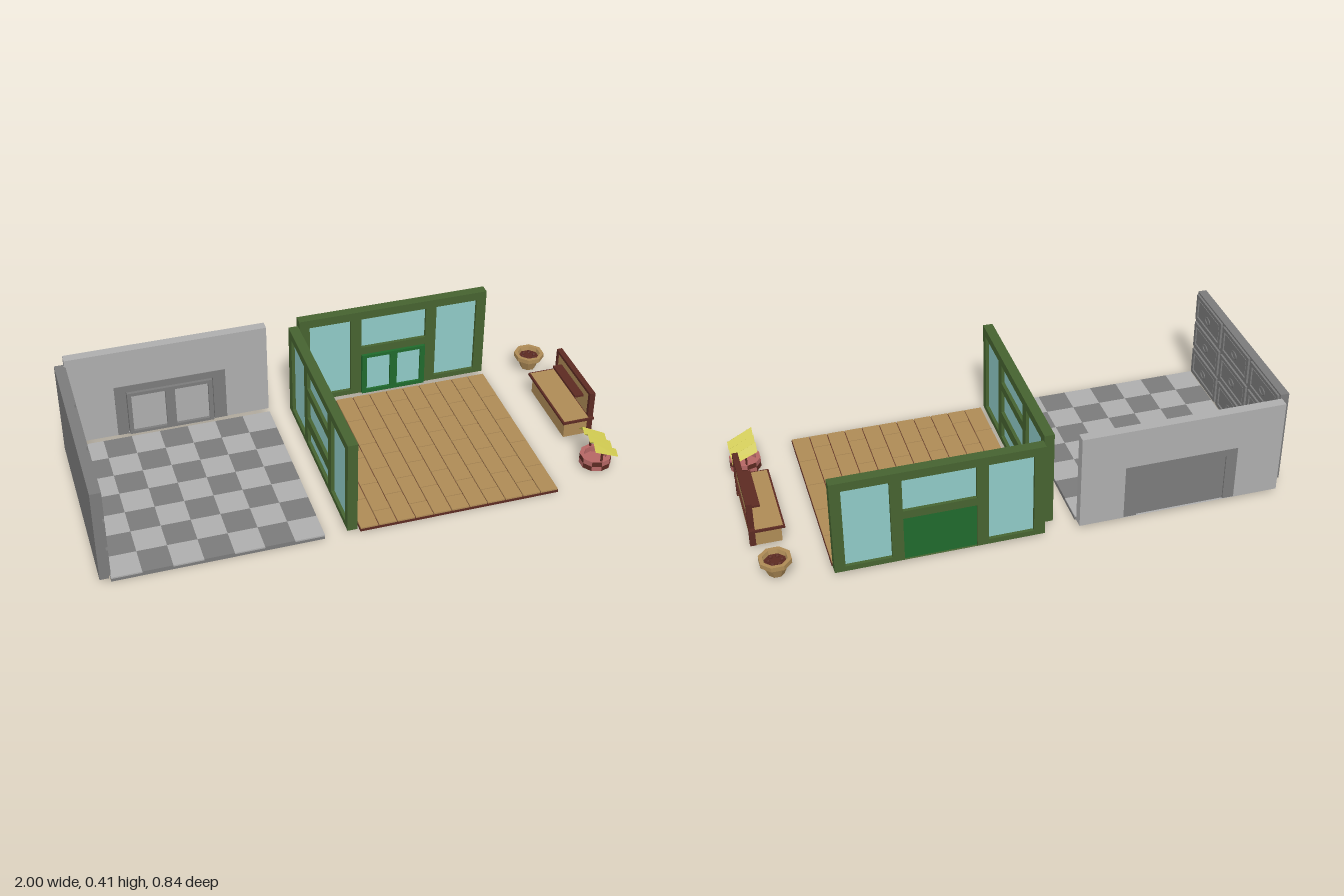
import * as THREE from 'three';

const mat = (name, color, side = THREE.FrontSide) => {
  const m = new THREE.MeshStandardMaterial({ color, side });
  m.name = name;
  return m;
};

export function createModel() {
  const root = new THREE.Group();
  const lightGrey = mat('lightGrey', 0xaeaeae);
  const darkGrey = mat('darkGrey', 0x7b7b7b);
  const green = mat('frameGreen', 0x466330);
  const doorGreen = mat('doorGreen', 0x1f6a2c);
  const glass = mat('glass', 0x8fcac6);
  const wood = mat('wood', 0xae8b56);
  const brown = mat('darkBrown', 0x5c2a22);
  const pink = mat('brickPink', 0xb56765);
  const yellow = mat('yellow', 0xcdc74f, THREE.DoubleSide);

  const group = (name, parent = root) => {
    const g = new THREE.Group();
    g.name = name;
    parent.add(g);
    return g;
  };
  const add = (parent, name, geo, material) => {
    const m = new THREE.Mesh(geo, material);
    m.name = name;
    parent.add(m);
    return m;
  };
  // box given by its minimum and maximum on each axis
  const box = (parent, name, material, x0, x1, y0, y1, z0, z1) => {
    const m = add(parent, name, new THREE.BoxGeometry(x1 - x0, y1 - y0, z1 - z0), material);
    m.position.set((x0 + x1) / 2, (y0 + y1) / 2, (z0 + z1) / 2);
    return m;
  };
  const flat = (geo) => {
    const g = geo.index ? geo.toNonIndexed() : geo;
    g.computeVertexNormals();
    return g;
  };
  const rect = (Type, x0, x1, y0, y1) => new Type().moveTo(x0, y0).lineTo(x1, y0).lineTo(x1, y1).lineTo(x0, y1).closePath();
  // slab in the xy plane with rectangular openings
  const slab = (parent, name, material, outer, holes, z0, z1) => {
    const s = rect(THREE.Shape, ...outer);
    holes.forEach((h) => s.holes.push(rect(THREE.Path, ...h)));
    const m = add(parent, name, new THREE.ExtrudeGeometry(s, { depth: z1 - z0, bevelEnabled: false }), material);
    m.position.z = z0;
    return m;
  };

  // ---- Grey room: checkered floor
  const greyFloor = group('tiledFloor');
  box(greyFloor, 'floorBase', darkGrey, -0.96, -0.177, 0, 0.012, -0.365, 0.418);
  const t = 0.783 / 7;
  for (let i = 0; i < 7; i++) {
    for (let j = 0; j < 7; j++) {
      const x = -0.96 + i * t, z = -0.365 + j * t;
      box(greyFloor, 'tile', (i + j) % 2 ? darkGrey : lightGrey, x, x + t, 0.012, 0.018, z, z + t);
    }
  }

  // ---- Grey back wall with a double door
  const greyWall = group('greyBackWall');
  slab(greyWall, 'wall', lightGrey, [-0.96, -0.175, 0.018, 0.405], [[-0.785, -0.346, 0.0181, 0.245]], -0.425, -0.387);
  slab(greyWall, 'doorSurround', darkGrey, [-0.785, -0.346, 0.018, 0.245], [[-0.742, -0.396, 0.0181, 0.215]], -0.423, -0.385);
  slab(greyWall, 'doorFrame', darkGrey, [-0.738, -0.4, 0.018, 0.211],
    [[-0.722, -0.588, 0.03, 0.197], [-0.55, -0.417, 0.03, 0.197]], -0.405, -0.378);
  box(greyWall, 'doorBack', darkGrey, -0.742, -0.396, 0.018, 0.215, -0.417, -0.404);
  [[-0.722, -0.588], [-0.55, -0.417]].forEach(([a, b]) =>
    box(greyWall, 'doorPane', lightGrey, a, b, 0.03, 0.197, -0.404, -0.39));

  // ---- Grey side wall made of drawers
  const drawers = group('drawerWall');
  box(drawers, 'wall', darkGrey, -1, -0.966, 0.018, 0.405, -0.365, 0.418);
  for (let i = 0; i < 3; i++) {
    for (let j = 0; j < 3; j++) {
      const z = -0.365 + (i + 0.5) * 0.261, y = 0.018 + (j + 0.5) * 0.129;
      const d = group('drawer', drawers);
      d.position.set(-0.966, y, z);
      d.rotation.y = Math.PI / 2;
      slab(d, 'drawerRim', darkGrey, [-0.122, 0.122, -0.057, 0.057], [[-0.105, 0.105, -0.042, 0.042]], 0, 0.008);
      box(d, 'drawerFront', darkGrey, -0.098, 0.098, -0.036, 0.036, 0, 0.006);
      const h = add(d, 'handle', new THREE.TorusGeometry(0.014, 0.003, 4, 10), darkGrey);
      h.scale.x = 1.5;
      h.position.z = 0.01;
    }
  }

  // ---- Plank floor: 11 columns of staggered boards
  const floor = group('plankFloor');
  box(floor, 'floorBase', brown, -0.042, 0.738, 0, 0.01, -0.365, 0.418);
  const w = 0.78 / 11, len = 0.783 / 5, gap = 0.0018;
  for (let i = 0; i < 11; i++) {
    const x = -0.042 + i * w;
    for (let j = 0; j < 6; j++) {
      const start = -0.365 + (j - (i % 2) / 2) * len;
      const z0 = Math.max(start, -0.365), z1 = Math.min(start + len, 0.418);
      if (z1 - z0 > 0.01) box(floor, 'plank', wood, x + gap, x + w - gap, 0.01, 0.016, z0 + gap, z1 - gap);
    }
  }

  // ---- Green walls: frame with recessed glass
  const windowWall = (name, outer, panes, extraHoles, z0, z1) => {
    const g = group(name);
    slab(g, 'frame', green, outer, [...panes, ...extraHoles], z0, z1);
    const mid = (z0 + z1) / 2;
    panes.forEach(([a, b, c, d]) => {
      box(g, 'glass', glass, a, b, c, d, mid - 0.006, mid + 0.006);
    });
    return g;
  };
  const back = windowWall('greenBackWall', [-0.042, 0.738, 0.016, 0.405],
    [[0, 0.17, 0.037, 0.37], [0.213, 0.483, 0.235, 0.37], [0.527, 0.698, 0.037, 0.37]],
    [[0.213, 0.483, 0.0161, 0.202]], -0.424, -0.385);
  // glazed double door, plain on its rear
  slab(back, 'doorFrame', doorGreen, [0.215, 0.481, 0.016, 0.2],
    [[0.235, 0.333, 0.032, 0.187], [0.363, 0.461, 0.032, 0.187]], -0.404, -0.376);
  box(back, 'doorBack', doorGreen, 0.213, 0.483, 0.016, 0.202, -0.416, -0.403);
  [[0.235, 0.333], [0.363, 0.461]].forEach(([a, b]) =>
    box(back, 'doorGlass', glass, a, b, 0.032, 0.187, -0.403, -0.386));

  // partition, drawn along -z then turned to face +x
  const side = windowWall('greenPartition', [-0.418, 0.363, 0.016, 0.405],
    [[-0.384, -0.21, 0.039, 0.37], [-0.17, 0.104, 0.292, 0.37], [-0.17, 0.104, 0.154, 0.257],
      [-0.17, 0.104, 0.039, 0.109], [0.144, 0.322, 0.039, 0.37]], [], -0.019, 0.019);
  side.rotation.y = Math.PI / 2;
  side.position.x = -0.073;

  // ---- Bench facing -x
  const bench = group('bench');
  box(bench, 'backPanel', wood, 0.982, 0.994, 0.016, 0.195, -0.18, 0.118);
  box(bench, 'backTopRail', brown, 0.978, 1, 0.192, 0.204, -0.192, 0.132);
  box(bench, 'backPost', brown, 0.978, 1, 0.016, 0.192, 0.116, 0.132);
  box(bench, 'backPost', brown, 0.978, 1, 0.016, 0.192, -0.192, -0.176);
  box(bench, 'shelf', brown, 0.945, 0.982, 0.151, 0.16, -0.145, 0.07);
  box(bench, 'seatBox', wood, 0.882, 0.982, 0.016, 0.088, -0.19, 0.13);
  box(bench, 'seatRail', brown, 0.87, 1, 0.087, 0.096, -0.21, 0.145);
  box(bench, 'seatTop', wood, 0.877, 0.978, 0.096, 0.098, -0.203, 0.138);

  // ---- Wooden tub with soil
  const tub = group('tub');
  tub.position.set(0.935, 0, -0.36);
  const prof = [[0, 0.016], [0.03, 0.016], [0.05, 0.067], [0.061, 0.067], [0.061, 0.085], [0.046, 0.085], [0.036, 0.05]];
  const bowl = add(tub, 'bowl', flat(new THREE.LatheGeometry(prof.map((p) => new THREE.Vector2(...p)), 8)), wood);
  const soil = add(tub, 'soil', flat(new THREE.CylinderGeometry(0.042, 0.04, 0.006, 8)), brown);
  soil.position.y = 0.066;
  bowl.rotation.y = soil.rotation.y = Math.PI / 8;
  for (let i = 0; i < 6; i++) {
    const a = (i * Math.PI) / 3;
    const c = add(tub, 'clod', flat(new THREE.IcosahedronGeometry(0.009, 0)), brown);
    c.position.set(Math.cos(a) * 0.025, 0.07, Math.sin(a) * 0.025);
  }

  // ---- Brick well with a pleated canopy
  const well = group('brickWell');
  const ring = flat(new THREE.CylinderGeometry(0.061, 0.061, 0.042, 10, 2, true));
  ring.clearGroups();
  for (let i = 0; i < 20; i++) ring.addGroup(i * 6, 6, ((i >> 1) + i) % 2);
  add(well, 'bricks', ring, [pink, brown]).position.set(0.938, 0.033, 0.304);
  const rim = [[0.061, 0.054], [0.044, 0.054], [0.044, 0.03], [0, 0.03]].map((p) => new THREE.Vector2(...p));
  add(well, 'rim', flat(new THREE.LatheGeometry(rim, 10)), pink).position.set(0.938, 0, 0.304);
  const base = add(well, 'base', new THREE.CircleGeometry(0.061, 10), pink);
  base.rotation.x = Math.PI / 2;
  base.position.set(0.938, 0.012, 0.304);
  [0.253, 0.355].forEach((z) => box(well, 'post', brown, 0.935, 0.942, 0.05, 0.118, z - 0.0035, z + 0.0035));
  const canopy = new THREE.PlaneGeometry(1, 1, 6, 1);
  for (let i = 0; i < 7; i++) {
    const z = 0.38 - i * 0.0258, odd = i % 2, end = i % 6 === 0;
    canopy.attributes.position.setXYZ(i, 0.896, odd ? 0.152 : end ? 0.123 : 0.132, z);
    canopy.attributes.position.setXYZ(i + 7, 0.994, odd ? 0.1 : 0.081, z);
  }
  add(well, 'canopy', flat(canopy), yellow);

  return root;
}
